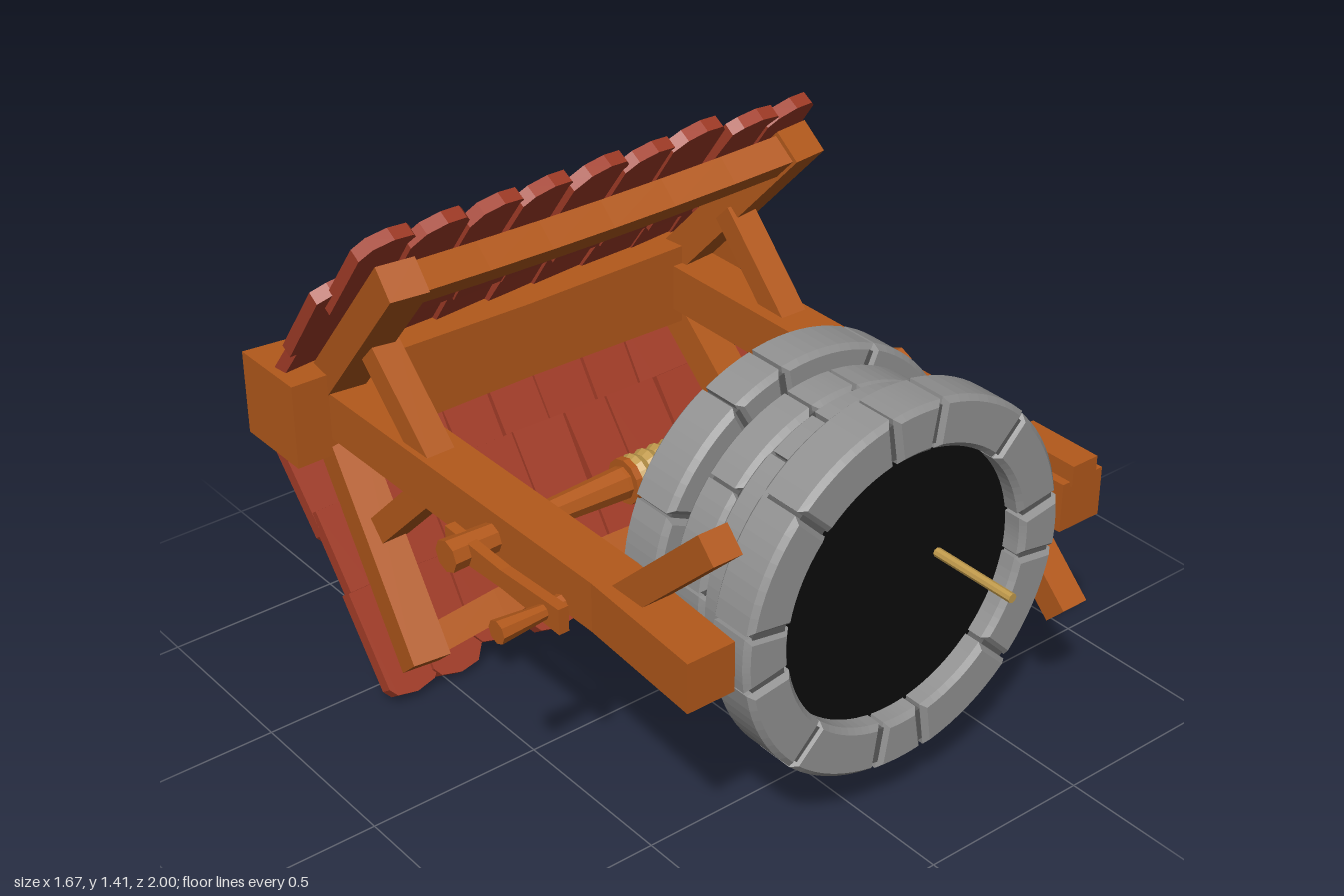
import * as THREE from 'three';

const mat = (color, extra = {}) => new THREE.MeshStandardMaterial({ color, flatShading: true, ...extra });
const WOOD = mat(0xb3591b), TILE = mat(0xa23c27), STONE = mat(0x929292), MORTAR = mat(0x5c5c5c);
const ROPE = mat(0xc09a4c), DARK = mat(0x0c0c0c, { side: THREE.DoubleSide });

let seed = 7;
const rnd = (a, b) => {
  seed = (seed * 16807) % 2147483647;
  return a + (b - a) * (seed / 2147483647);
};
const V = (x, y, z) => new THREE.Vector3(x, y, z);

function add(parent, name, geometry, material) {
  const m = new THREE.Mesh(geometry, material);
  m.name = name;
  parent.add(m);
  return m;
}

// Timber from a to b; w is its width across x, h its other thickness
function beam(parent, name, a, b, w, h) {
  const m = add(parent, name, new THREE.BoxGeometry(w, h, a.distanceTo(b)), WOOD);
  m.position.copy(a).lerp(b, 0.5);
  m.lookAt(b);
  return m;
}

// Box whose vertices are moved by a rule
function bentBox(w, h, d, sx, sz, rule) {
  const g = new THREE.BoxGeometry(w, h, d, sx, 1, sz), p = g.attributes.position, v = V(0, 0, 0);
  for (let i = 0; i < p.count; i++) {
    rule(v.fromBufferAttribute(p, i));
    p.setXYZ(i, v.x, v.y, v.z);
  }
  g.computeVertexNormals();
  return g;
}

// Eight-sided turned piece along x; profile is [radius, x] pairs
function turned(parent, name, profile, material, y, z, sides = 8) {
  const pts = profile.map(([r, x]) => new THREE.Vector2(r, x));
  const m = add(parent, name, new THREE.LatheGeometry(pts, sides), material);
  m.rotation.z = -Math.PI / 2;
  m.position.set(0, y, z);
  return m;
}

// Bevelled stone block: a sector of a ring
function stone(r0, r1, a0, a1, depth) {
  const s = new THREE.Shape(), b = 0.014, g = 0.005;
  const o = (b + g) / r1, i = (b + g) / r0;
  s.absarc(0, 0, r1 - b, a0 + o, a1 - o, false);
  s.absarc(0, 0, r0 + b, a1 - i, a0 + i, true);
  return new THREE.ExtrudeGeometry(s, {
    depth: depth - 2 * b, bevelSize: b, bevelThickness: b, bevelSegments: 1, curveSegments: 4,
  }).translate(0, 0, b);
}

function buildWall() {
  const wall = new THREE.Group();
  wall.name = 'stoneWall';
  wall.position.set(0.065, 0.695, 0);
  const deg = Math.PI / 180, inner = 0.38;
  // outer radius, start z, depth, turn of each course
  const courses = [[0.515, 0.66, 0.14, 0], [0.45, 0.548, 0.112, 24], [0.447, 0.43, 0.118, 4], [0.495, 0.29, 0.138, 20]];
  for (const [r, z, depth, turn] of courses) {
    let a = turn - 9;
    for (let k = 0; k < 12; k++) {
      const span = k % 3 === 0 ? 18 : 36;
      const rr = r + rnd(-0.006, 0.002);
      add(wall, 'stone', stone(inner, rr, a * deg, (a + span) * deg, depth + rnd(-0.005, 0.004)), STONE).position.z = z;
      a += span;
    }
    // mortar core behind the joints
    const core = [[inner + 0.015, z + 0.012], [r - 0.02, z + 0.012], [r - 0.02, z + depth - 0.012],
      [inner + 0.015, z + depth - 0.012], [inner + 0.015, z + 0.012]];
    add(wall, 'mortar', new THREE.LatheGeometry(core.map(([x, y]) => new THREE.Vector2(x, y)), 40), MORTAR).rotation.x = Math.PI / 2;
  }
  add(wall, 'wellFloor', new THREE.CircleGeometry(0.39, 40), DARK).position.z = 0.74;
  return wall;
}

// One roof slope: local y runs from ridge to eave, local z points outwards
function buildSlope(side) {
  const slope = new THREE.Group();
  slope.name = side > 0 ? 'upperRoofSlope' : 'lowerRoofSlope';
  const u = V(0, 0.74 * side, 0.673), n = V(0, 0.673 * side, -0.74), x = V(-side, 0, 0);
  slope.applyMatrix4(new THREE.Matrix4().makeBasis(x, u, n).setPosition(0.06, 0.71 + 0.045 * side, -0.837));
  const count = 9, w = 1.5 / count;
  for (let row = 0; row < 3; row++) {
    const start = [0.0, 0.22, 0.46][row], len = 0.3;
    for (let k = 0; k < count; k++) {
      const h = w / 2 + 0.006, L = len + rnd(-0.02, 0.025);
      const s = new THREE.Shape([
        [-h, 0], [h, 0], [h + rnd(-0.008, 0.008), L - rnd(0.03, 0.06)], [h * 0.6, L - 0.012],
        [-h * 0.1, L], [-h * 0.8, L - 0.012], [-h, L - 0.035],
      ].map(([a, b]) => new THREE.Vector2(a, b)));
      const t = add(slope, 'roofTile', new THREE.ExtrudeGeometry(s, { depth: 0.038, bevelEnabled: false }), TILE);
      t.position.set((k - (count - 1) / 2) * w + rnd(-0.01, 0.01) + (row % 2 ? 0.012 : -0.008), start, 0.052 + rnd(0, 0.006));
      t.rotation.set(0.11 + rnd(-0.02, 0.02), rnd(0.02, 0.1) * side, rnd(-0.05, 0.05));
    }
  }
  // purlin near the eave, bowed a little towards the ridge
  const purlin = bentBox(1.2, 0.085, 0.085, 6, 1, (v) => { v.y -= 0.03 * (1 - (v.x / 0.6) ** 2); });
  add(slope, 'purlin', purlin, WOOD).position.set(0, 0.67, 0);
  return slope;
}

function buildFrame() {
  const frame = new THREE.Group();
  frame.name = 'timberFrame';
  const cy = 0.725;
  for (const [side, px] of [[-1, -0.53], [1, 0.643]]) {
    // post with its foot splayed outwards
    const post = bentBox(0.14, 0.14, 1.58, 1, 4, (v) => {
      if (v.z > 0.7) v.x += side < 0 ? -0.027 : 0.01;
    });
    add(frame, 'post', post, WOOD).position.set(px, cy, 0.01);
    for (const k of [-1, 1]) {
      const mid = 0.71;
      beam(frame, 'rafter', V(px + side * 0.005, mid + 0.03 * k, -0.85), V(px + side * 0.062, mid + 0.58 * k, -0.355), 0.11, 0.1);
      beam(frame, 'strut', V(px + side * 0.01, cy + 0.02 * k, -0.31), V(px + side * 0.015, cy + 0.29 * k, -0.58), 0.085, 0.075);
    }
  }
  // foot braces, one on each post, with ends cut flush
  const brace = (name, x, k) => {
    const s = new THREE.Shape([[0.81, 0.3], [0.81, 0.43], [0.72, 0.375 - 0.02], [0.43, 0.06], [0.58, 0.03]]
      .map(([z, y]) => new THREE.Vector2(-z, k * y)));
    const g = new THREE.ExtrudeGeometry(s, { depth: 0.085, bevelEnabled: false }).translate(0, 0, -0.0425);
    const m = add(frame, name, g, WOOD);
    m.rotation.y = Math.PI / 2;
    m.position.set(x, cy, 0);
  };
  const straight = (name, x, k) =>
    beam(frame, name, V(x, cy + 0.03 * k, 0.46), V(x, cy + 0.345 * k, 0.79), 0.085, 0.08);
  straight('upperFootBrace', -0.525, 1);
  straight('lowerFootBrace', 0.65, -1);
  add(frame, 'footBlock', new THREE.BoxGeometry(0.085, 0.06, 0.225), WOOD).position.set(0.65, 0.813, 0.695);
  // ridge beam, its outer face sagging in the middle
  const ridge = bentBox(1.535, 0.25, 0.25, 6, 1, (v) => {
    const t = Math.abs(v.x) / 0.7675;
    if (v.z < 0) v.z += 0.045 * (1 - t * t);
    v.y *= 0.92 + 0.08 * t;
  });
  add(frame, 'ridgeBeam', ridge, WOOD).position.set(0.057, 0.728, -0.87);
  return frame;
}

function buildWindlass() {
  const g = new THREE.Group();
  g.name = 'windlass';
  const y = 0.72;
  turned(g, 'axle', [[0, -0.74], [0.045, -0.74], [0.034, -0.45], [0.045, -0.2], [0.045, 0.3], [0.036, 0.55], [0.055, 0.78], [0, 0.78]], WOOD, y, 0);
  for (const x of [-0.18, 0.28]) turned(g, 'spoolRim', [[0, x - 0.01], [0.063, x - 0.01], [0.063, x + 0.01], [0, x + 0.01]], WOOD, y, 0, 12);
  // rope coils
  const coils = [];
  for (let i = 0; i <= 22; i++) coils.push([i % 2 ? 0.064 : 0.054, -0.17 + (0.44 * i) / 22]);
  turned(g, 'ropeCoils', coils, ROPE, y, 0, 16);
  const rope = add(g, 'hangingRope', new THREE.CylinderGeometry(0.013, 0.013, 0.97, 8), ROPE);
  rope.rotation.x = Math.PI / 2;
  rope.position.set(0.21, y, 0.515);
  // crank arm and grip
  const arm = bentBox(0.03, 0.07, 0.47, 1, 4, (v) => { v.y *= 0.75 + 1.2 * Math.abs(v.z); });
  add(g, 'crankArm', arm, WOOD).position.set(-0.678, y, 0.165);
  turned(g, 'crankGrip', [[0, -0.83], [0.032, -0.83], [0.02, -0.69], [0.026, -0.64], [0, -0.64]], WOOD, y, 0.34);
  return g;
}

export function createModel() {
  const model = new THREE.Group();
  model.name = 'well';
  model.add(buildWall(), buildFrame(), buildSlope(1), buildSlope(-1), buildWindlass());
  return model;
}
